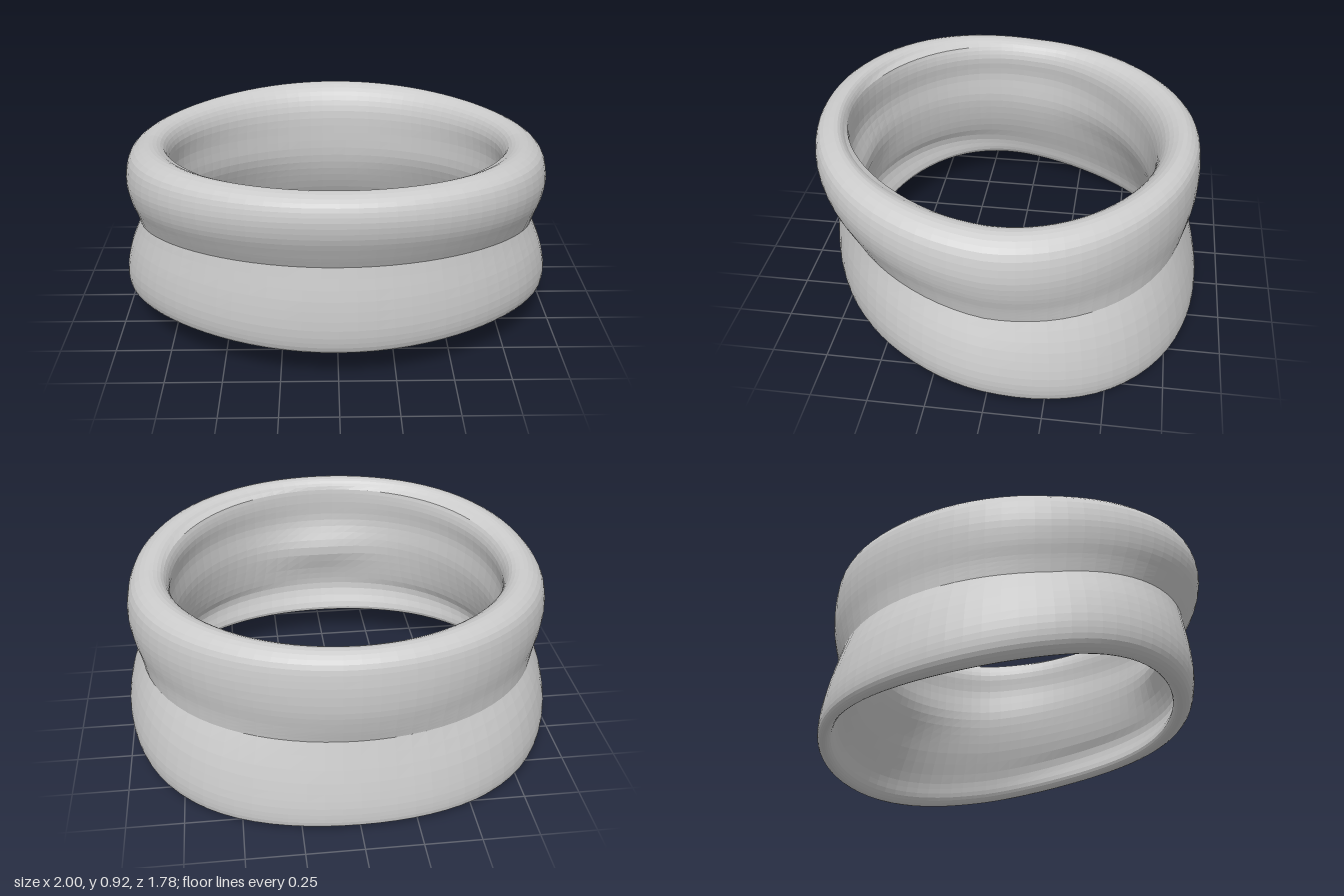
import * as THREE from 'three';

// Wall sections as [distance from axis, height]: from the crease up the outside,
// over the top, down the inside, around the bottom lip and back up to the crease.
const FRONT = [[.80, .595], [.835, .66], [.88, .76], [.89, .85], [.865, .91], [.79, .93], [.76, .895], [.755, .82],
  [.765, .70], [.755, .58], [.76, .42], [.765, .30], [.725, .19], [.75, .17], [.80, .19], [.825, .27], [.825, .42], [.80, .595]];
const SIDE = [[.92, .465], [.935, .53], [.955, .60], [.965, .70], [.935, .81], [.86, .855], [.80, .84], [.77, .78],
  [.78, .67], [.775, .52], [.81, .37], [.88, .20], [.905, .12], [.94, .09], [.985, .12], [1, .20], [.975, .33], [.92, .465]];
const BACK = [[.81, .43], [.83, .50], [.85, .60], [.85, .74], [.83, .82], [.77, .855], [.70, .82], [.66, .74],
  [.65, .60], [.66, .45], [.71, .30], [.80, .13], [.83, .05], [.855, .03], [.88, .04], [.885, .10], [.865, .22], [.81, .43]];

const AROUND = 80;
const ALONG = 60;

// Smooth curve through a section, starting and ending at the sharp crease
function smoothSection(points) {
  const curve = new THREE.CatmullRomCurve3(points.map(([r, y]) => new THREE.Vector3(r, y, 0)), false, 'centripetal');
  return curve.getPoints(ALONG);
}

// Blend the three sections around an oval to make the folded band
function bandGeometry() {
  const [front, side, back] = [FRONT, SIDE, BACK].map(smoothSection);
  const positions = [];
  const indices = [];
  for (let i = 0; i < AROUND; i++) {
    const t = (i / AROUND) * Math.PI * 2;
    const c = Math.cos(t);
    const s = Math.sin(t);
    const diagonal = Math.sin(2 * t) ** 2;
    for (let j = 0; j <= ALONG; j++) {
      const f = front[j], m = side[j], b = back[j];
      let y = m.y + (f.y - b.y) / 2 * c + ((f.y + b.y) / 2 - m.y) * c * c;
      // the front stays high towards the sides, the bottom lip dips towards the back
      const sway = c > 0 ? 0.08 * (1 - 0.6 * y) : 0.11 * Math.max(0, 1 - 2.5 * y);
      y += sway * (c - c ** 3);

      // the lower roll is fuller at the back corners, the upper roll at the front ones
      const upper = THREE.MathUtils.smoothstep(m.y, 0.35, 0.6);
      const inside = m.x < 0.85 && m.y < 0.83;
      const fullness = c < 0 ? THREE.MathUtils.lerp(0.025, -0.015, upper) : THREE.MathUtils.lerp(-0.005, 0.012, upper);
      let scale = 1 + (inside && c > 0 ? -0.015 : fullness) * diagonal;

      // soft pad on the inside of the front wall
      if (inside && c > 0) scale -= 0.055 * Math.exp(-((s / 0.33) ** 2) - ((y - 0.55) / 0.11) ** 2);
      positions.push(m.x * s * scale, y, (c > 0 ? f.x : b.x) * c * scale);

      if (j === ALONG) continue;
      const row = i * (ALONG + 1) + j;
      const next = ((i + 1) % AROUND) * (ALONG + 1) + j;
      indices.push(row, next, next + 1, row, next + 1, row + 1);
    }
  }
  const geometry = new THREE.BufferGeometry();
  geometry.setAttribute('position', new THREE.Float32BufferAttribute(positions, 3));
  geometry.setIndex(indices);
  geometry.computeVertexNormals();
  // rest the lowest point on the ground
  geometry.computeBoundingBox();
  geometry.translate(0, -geometry.boundingBox.min.y, 0);
  return geometry;
}

export function createModel() {
  const group = new THREE.Group();
  group.name = 'collar';
  const band = new THREE.Mesh(bandGeometry(), new THREE.MeshStandardMaterial({ color: 0xcccccc, flatShading: true }));
  band.name = 'foldedBand';
  group.add(band);
  return group;
}
